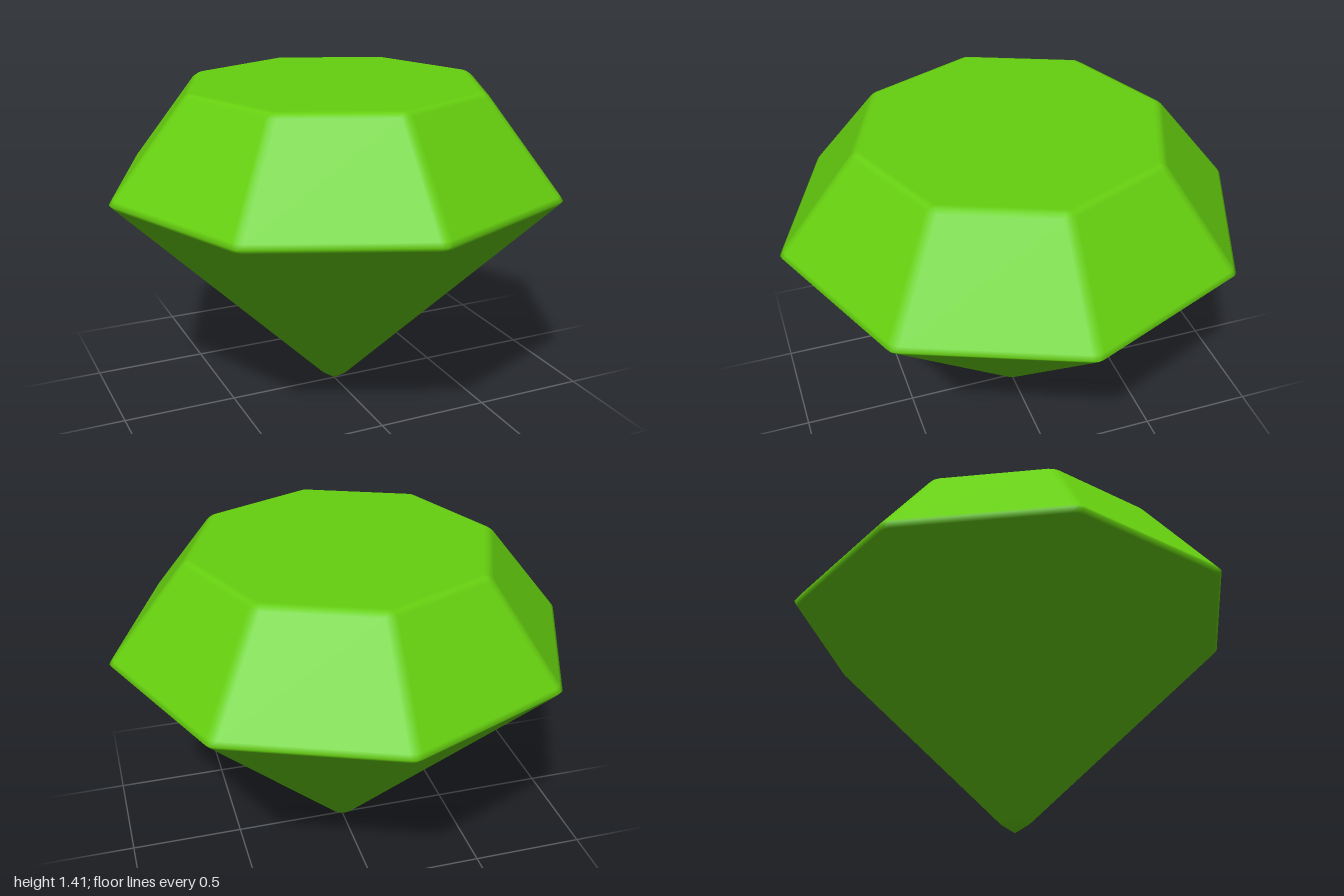
import * as THREE from 'three';

const SIDES = 8;
const STEP = (Math.PI * 2) / SIDES;

// Rows from table to tip: corner radius, height, bevel inset along the side,
// trim of the rounded ridge, and elevation of the surface normal in degrees.
const ROWS = [
  [0, 1.41, 0, 0, 90],              // table centre
  [0.633, 1.41, 0, 0, 90],          // table rim
  [0.654, 1.403, 0.013, 0.002, 63], // table bevel
  [0.676, 1.39, 0.027, 0.005, 36],  // crown top
  [0.99, 1.0, 0.027, 0.005, 36],    // crown bottom
  [1.003, 0.981, 0.02, 0.003, -3],  // girdle bevel
  [0.988, 0.962, 0.027, 0.005, -43],// pavilion top
  [0.07, 0.045, 0.0268, 0.005, -43],// pavilion bottom
  [0, 0, 0, 0, -90],                // tip
];

function cutStone() {
  const positions = [], normals = [], index = [];
  const columns = SIDES * 3;

  for (const [radius, y, inset, trim, degrees] of ROWS) {
    const elevation = THREE.MathUtils.degToRad(degrees);
    const add = (x, z, azimuth) => {
      positions.push(x, y, z);
      const flat = Math.cos(elevation);
      normals.push(flat * Math.sin(azimuth), Math.sin(elevation), flat * Math.cos(azimuth));
    };
    for (let k = 0; k < SIDES; k++) {
      const a = k * STEP, mid = a + STEP / 2;
      // rounded ridge between two facets
      add((radius - trim) * Math.sin(a), (radius - trim) * Math.cos(a), a);
      // the two ends of the flat facet
      const apothem = radius * Math.cos(STEP / 2);
      const half = Math.max(0, radius * Math.sin(STEP / 2) - inset);
      for (const t of [-half, half]) {
        add(apothem * Math.sin(mid) + t * Math.cos(mid),
          apothem * Math.cos(mid) - t * Math.sin(mid), mid);
      }
    }
  }

  // join neighbouring rows
  for (let r = 0; r < ROWS.length - 1; r++) {
    for (let c = 0; c < columns; c++) {
      const n = (c + 1) % columns;
      const a = r * columns + c, d = r * columns + n;
      const b = a + columns, e = d + columns;
      if (r > 0) index.push(a, b, d);
      if (r < ROWS.length - 2) index.push(b, e, d);
      if (r === 0) index.pop(), index.pop(), index.pop(), index.push(a, b, e);
    }
  }

  const geometry = new THREE.BufferGeometry();
  geometry.setAttribute('position', new THREE.Float32BufferAttribute(positions, 3));
  geometry.setAttribute('normal', new THREE.Float32BufferAttribute(normals, 3));
  geometry.setIndex(index);
  return geometry;
}

export function createModel() {
  const green = new THREE.MeshStandardMaterial({ color: 0x66d00f });
  green.name = 'gemGreen';

  const gem = new THREE.Mesh(cutStone(), green);
  gem.name = 'gemstone';

  const model = new THREE.Group();
  model.name = 'gem';
  model.add(gem);
  return model;
}
